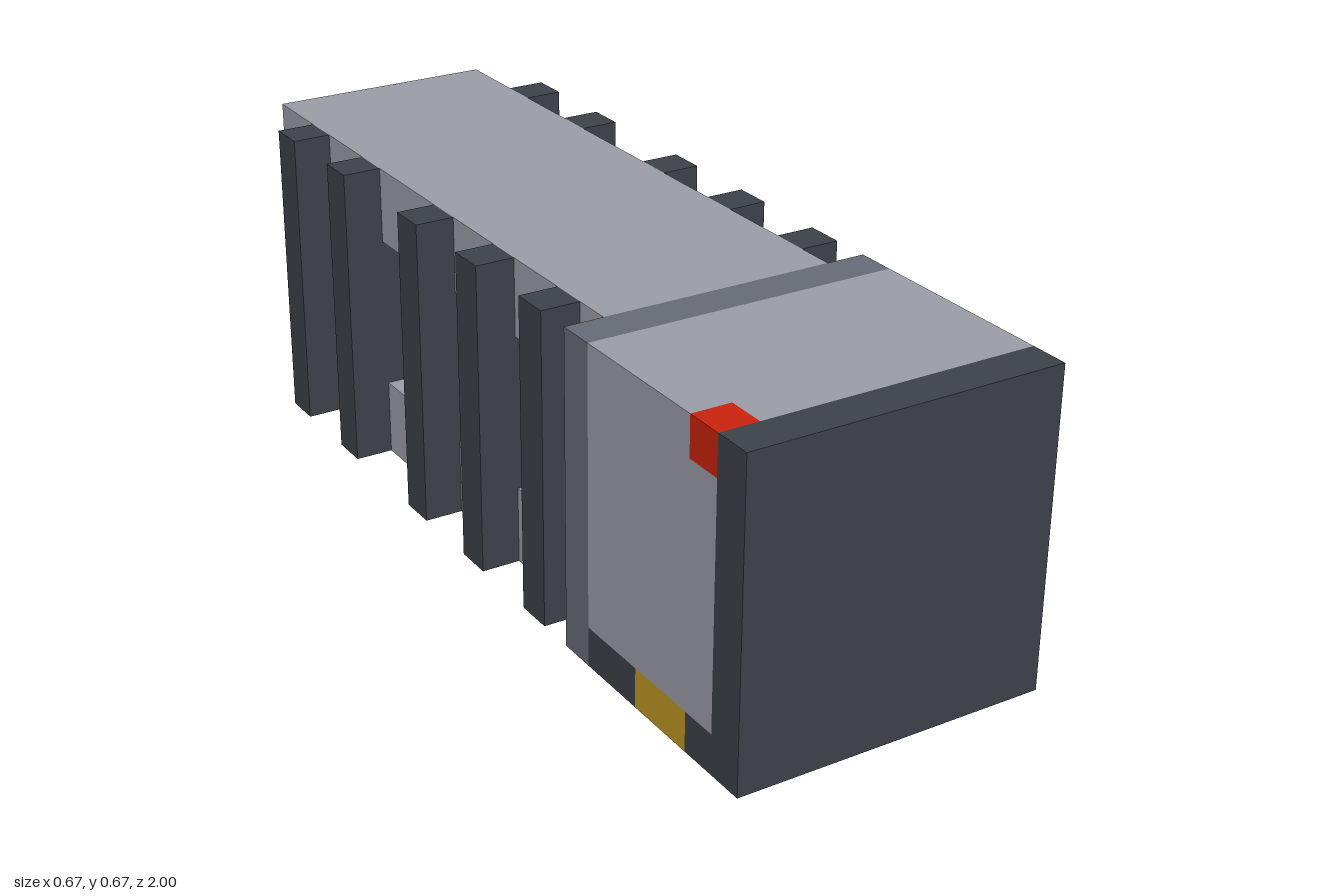
import * as THREE from 'three';
import { mergeGeometries } from 'three/addons/utils/BufferGeometryUtils.js';

const U = 1 / 12; // one block of the building grid

const mat = (name, color) => {
  const m = new THREE.MeshStandardMaterial({ color });
  m.name = name;
  return m;
};

// Box between two grid corners: x 0..8 (right to left), y 0..8, z 0..24 (back to front)
function block([x0, y0, z0], [x1, y1, z1]) {
  const g = new THREE.BoxGeometry((x1 - x0) * U, (y1 - y0) * U, (z1 - z0) * U);
  return g.translate(((x0 + x1) / 2 - 4) * U, ((y0 + y1) / 2) * U, ((z0 + z1) / 2 - 12) * U);
}

export function createModel() {
  const lightGrey = mat('light grey', 0x9a9ca5);
  const midGrey = mat('mid grey', 0x666a74);
  const charcoal = mat('charcoal', 0x3c4148);
  const blue = mat('blue', 0x46a3c2);
  const yellow = mat('yellow', 0xbb9423);
  const red = mat('red', 0xc8220c);

  const model = new THREE.Group();
  const add = (name, material, ...parts) => {
    const mesh = new THREE.Mesh(parts.length > 1 ? mergeGeometries(parts) : parts[0], material);
    mesh.name = name;
    model.add(mesh);
  };

  // Head block with a front plate, rear collar and corner light
  add('frontPlate', charcoal, block([0, 0, 23], [8, 8, 24]));
  add('head', lightGrey,
    block([0, 1, 18], [8, 7, 23]),
    block([1, 7, 18], [8, 8, 23]),
    block([0, 7, 18], [1, 8, 22]));
  add('cornerLight', red, block([0, 7, 22], [1, 8, 23]));
  add('collar', midGrey, block([0, 0, 17], [8, 8, 18]));

  // Two small side windows, thin plates on the left face
  for (const z of [19, 21]) {
    add('sideWindow', blue, block([8, 4, z], [8.04, 5, z + 1]));
  }

  // Diagonal hazard stripes under the head
  const stripes = { yellow: [], dark: [] };
  for (let i = 0; i < 8; i++) {
    for (let j = 0; j < 5; j++) {
      const tile = block([7 - i, 0, 22 - j], [8 - i, 1, 23 - j]);
      ((i + j) % 4 < 2 ? stripes.yellow : stripes.dark).push(tile);
    }
  }
  add('hazardStripesYellow', yellow, ...stripes.yellow);
  add('hazardStripesDark', charcoal, ...stripes.dark);

  // Body: two beams around a glowing core
  add('lowerBeam', lightGrey, block([1, 0, 0], [7, 2, 17]));
  add('upperBeam', lightGrey, block([1, 6, 0], [7, 8, 17]));
  add('core', blue, block([3, 2, 0], [5, 6, 17]));

  // Ribs: an outer post and an inner web on each side
  for (const z of [2, 5, 9, 12, 15]) {
    add('rib', charcoal,
      block([0, 0, z], [1, 8, z + 1]), block([1, 2, z], [3, 6, z + 1]),
      block([7, 0, z], [8, 8, z + 1]), block([5, 2, z], [7, 6, z + 1]));
  }
  return model;
}
